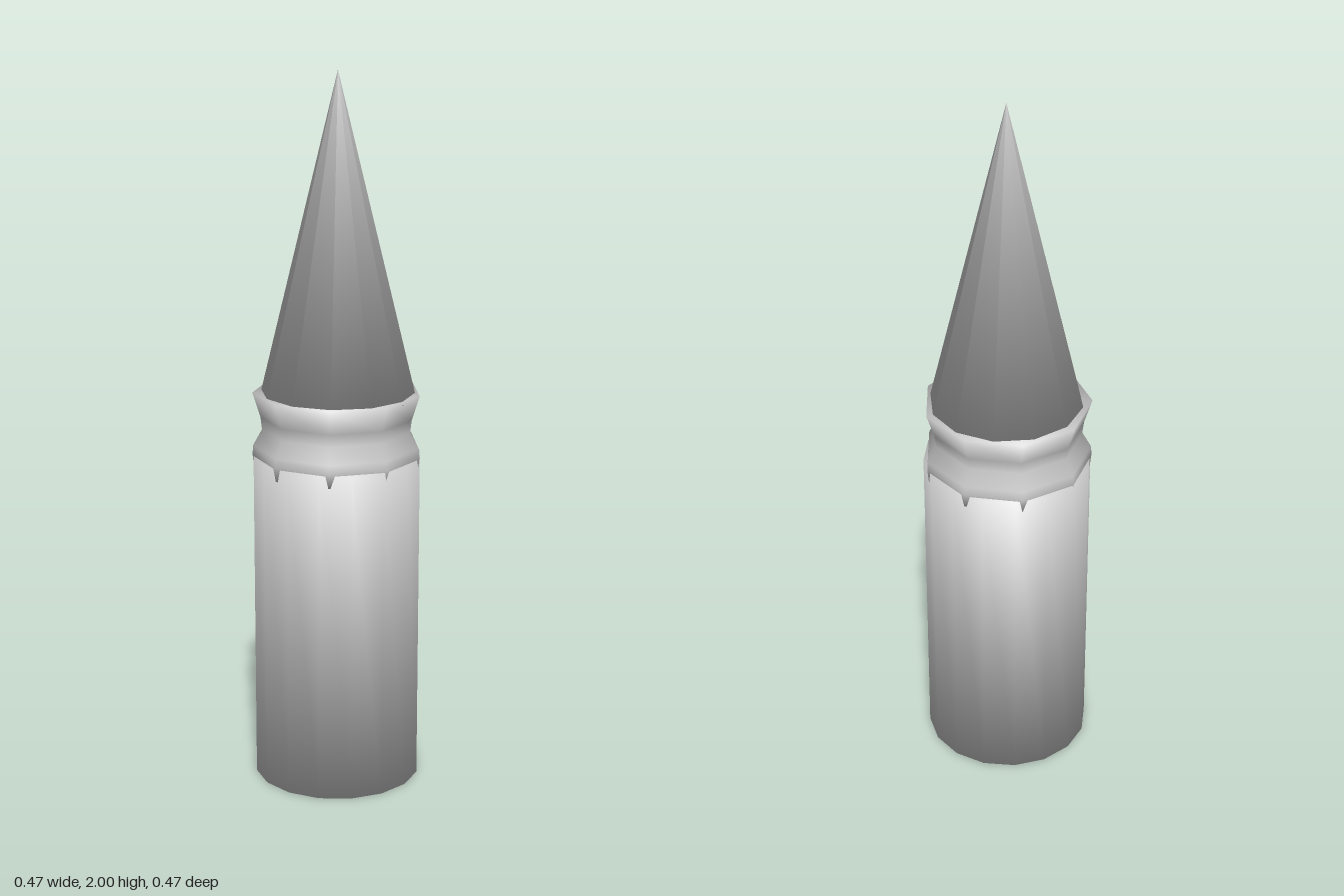
import * as THREE from 'three';

const material = new THREE.MeshStandardMaterial({ color: 0xcccccc });

// Solid of revolution from rising [radius, height] points, shaded softly across every edge
function turned(name, profile, sides, start = 0) {
  const points = profile.map(([r, y]) => new THREE.Vector2(r, y));
  const geometry = new THREE.LatheGeometry(points, sides, start);

  // Each profile point's normal is the even average of the two slopes that meet there
  const slopes = points.slice(1).map((p, i) => {
    const d = p.clone().sub(points[i]).normalize();
    return new THREE.Vector2(d.y, -d.x);
  });
  const normals = points.map((_, i) => {
    const before = slopes[Math.max(i - 1, 0)];
    const after = slopes[Math.min(i, slopes.length - 1)];
    return before.clone().add(after).normalize();
  });
  for (let i = 0; i <= sides; i++) {
    const angle = start + (i / sides) * Math.PI * 2;
    normals.forEach((n, j) => geometry.attributes.normal.setXYZ(
      i * points.length + j, n.x * Math.sin(angle), n.y, n.x * Math.cos(angle)));
  }

  const mesh = new THREE.Mesh(geometry, material);
  mesh.name = name;
  return mesh;
}

export function createModel() {
  const model = new THREE.Group();
  model.name = 'pointedShaft';

  // Closed cylindrical body
  model.add(turned('body', [[0, 0], [0.235, 0], [0.235, 0.94], [0, 0.94]], 16));

  // Waisted nine-sided collar, sunk slightly into the body
  model.add(turned('collar', [
    [0, 0.905], [0.232, 0.905], [0.236, 0.945], [0.234, 0.97],
    [0.209, 1.015], [0.213, 1.05], [0.235, 1.12], [0, 1.12],
  ], 9, Math.PI));

  // Tall twelve-sided spike seated in the collar
  const spike = turned('spike', [[0, 1.11], [0.216, 1.11], [0, 2]], 12);
  spike.position.z = 0.003;
  model.add(spike);

  return model;
}
